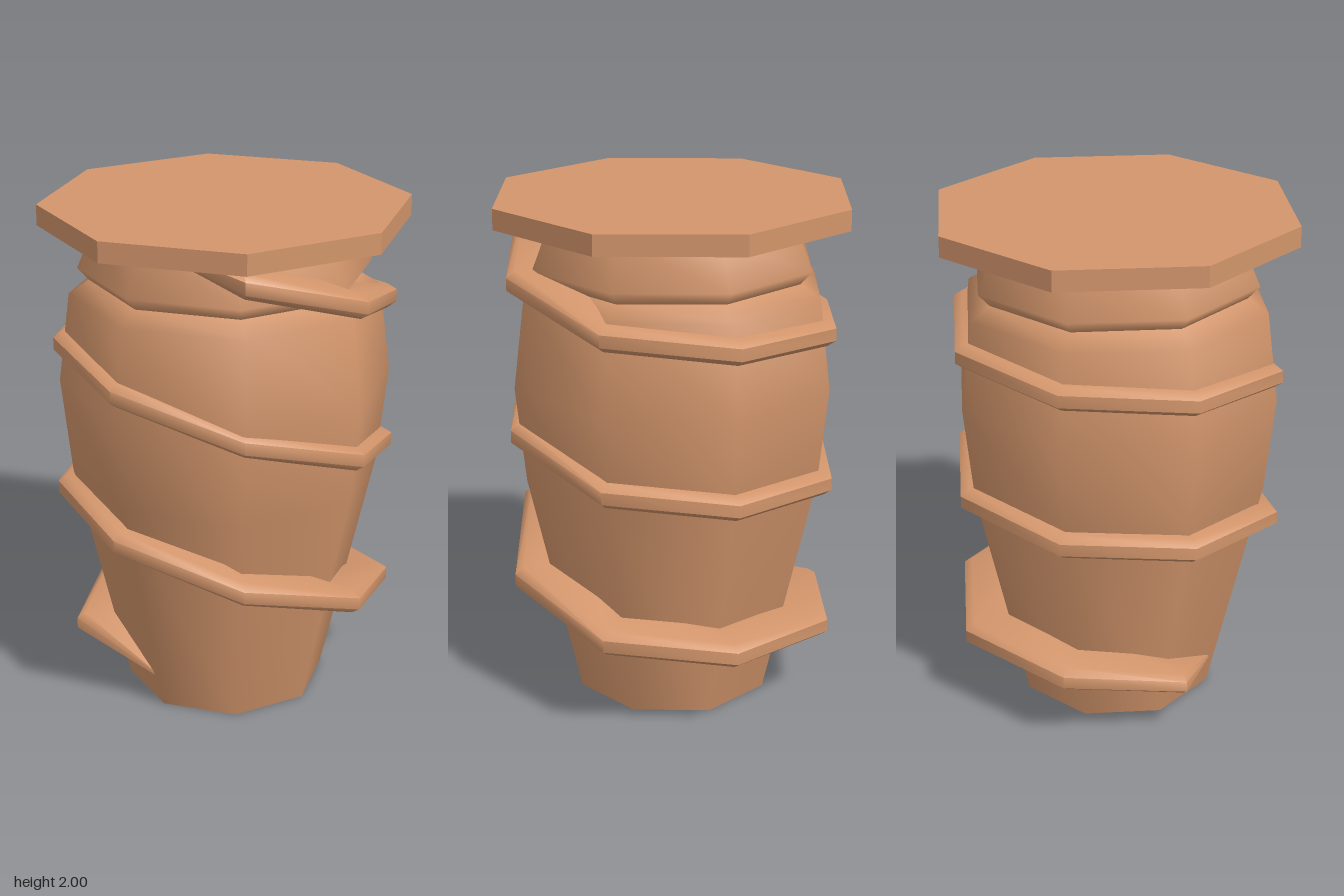
import * as THREE from 'three';
import { toCreasedNormals } from 'three/addons/utils/BufferGeometryUtils.js';

const SIDES = 8;

// Octagonal turned part from [radius, height] pairs, corners on the axes
function turned(name, profile, material) {
  const points = profile.map(([r, y]) => new THREE.Vector2(r, y));
  const mesh = new THREE.Mesh(new THREE.LatheGeometry(points, SIDES), material);
  mesh.name = name;
  return mesh;
}

// Spiral ridge: a round-nosed section carried up around the shank
function threadGeometry() {
  const rise = [0, 0.05, 0.09, 0.12, 0.15, 0.20, 0.31, 0.46]; // uneven climb per eighth turn
  const steps = 24;
  const positions = [];
  const index = [];
  const n = 6;
  for (let i = 0; i <= steps; i++) {
    let y = 0.2 + 0.6 * Math.floor(i / SIDES) + rise[i % SIDES];
    let R = 0.665, inner = 0.36, s = 1;
    // tapered ends
    if (i === 0) { R = 0.41; y = 0.125; s = 0.15; }
    if (i === 1) { R = 0.61; y = 0.235; s = 0.9; }
    if (i === 2) { R = 0.645; y = 0.3; }
    if (i === steps) { R = 0.5; y = 1.955; s = 0.15; }
    const h = 0.048 * s;
    const section = [
      [inner, h], [R - 0.035 * s, h], [R, h * 0.5],
      [R, -h * 0.5], [R - 0.035 * s, -h], [inner, -h],
    ];
    const a = Math.PI + i * Math.PI * 2 / SIDES;
    for (const [r, dy] of section) positions.push(r * Math.sin(a), y + dy, -r * Math.cos(a));
  }
  for (let i = 0; i < steps; i++) {
    for (let j = 0; j < n; j++) {
      const p = i * n + j, q = i * n + (j + 1) % n;
      index.push(p, p + n, q, q, p + n, q + n);
    }
  }
  // end caps
  const last = steps * n;
  for (let j = 1; j < n - 1; j++) {
    index.push(0, j, j + 1);
    index.push(last, last + j + 1, last + j);
  }
  const geometry = new THREE.BufferGeometry();
  geometry.setAttribute('position', new THREE.Float32BufferAttribute(positions, 3));
  geometry.setIndex(index);
  return toCreasedNormals(geometry, 0.9);
}

export function createModel() {
  const group = new THREE.Group();
  group.name = 'screw';
  const copper = new THREE.MeshStandardMaterial({ color: 0xd2956b });
  copper.name = 'copper';

  // Tapered shank with a bulging shoulder
  group.add(turned('shank', [
    [0.395, 0], [0.605, 0.92], [0.645, 1.3], [0.6, 1.65], [0.52, 1.7],
  ], copper));

  // Flat tip
  const tip = new THREE.Mesh(new THREE.CircleGeometry(0.395, SIDES), copper);
  tip.rotation.x = Math.PI / 2;
  tip.name = 'tip';
  group.add(tip);

  // Collar under the head
  group.add(turned('collar', [[0.52, 1.7], [0.565, 1.75], [0.49, 1.925]], copper));

  // Head plate
  const headGeometry = new THREE.CylinderGeometry(0.71, 0.71, 0.08, SIDES).toNonIndexed();
  headGeometry.computeVertexNormals();
  const head = new THREE.Mesh(headGeometry, copper);
  head.position.y = 1.96;
  head.name = 'head';
  group.add(head);

  const thread = new THREE.Mesh(threadGeometry(), copper);
  thread.name = 'thread';
  group.add(thread);

  return group;
}
